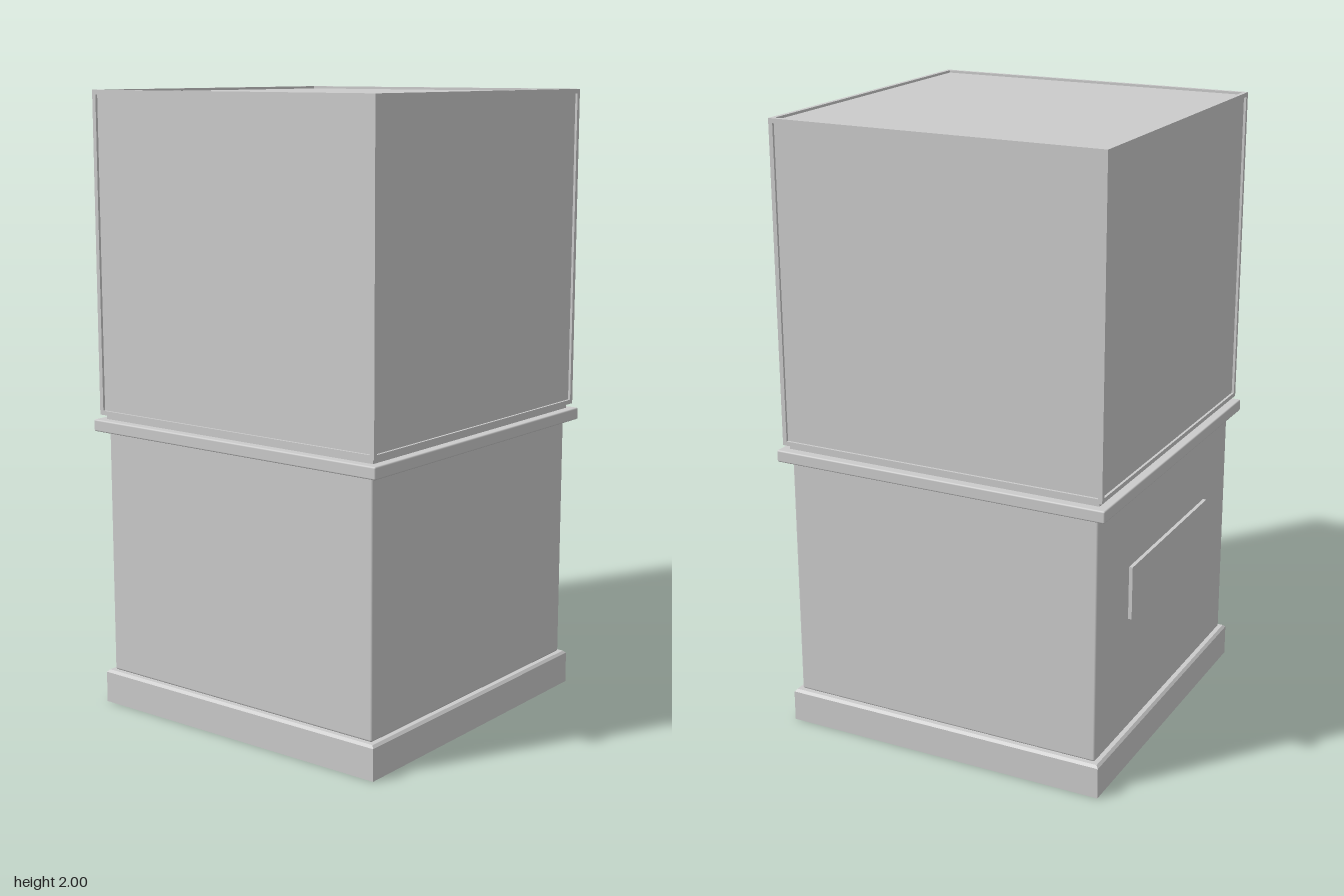
import * as THREE from 'three';
import { RoundedBoxGeometry } from 'three/addons/geometries/RoundedBoxGeometry.js';

const material = new THREE.MeshStandardMaterial({ color: 0xcccccc });
const openMaterial = new THREE.MeshStandardMaterial({ color: 0xcccccc, side: THREE.DoubleSide });

function add(parent, name, geometry, x, y, z, mat = material) {
  const mesh = new THREE.Mesh(geometry, mat);
  mesh.name = name;
  mesh.position.set(x, y, z);
  parent.add(mesh);
  return mesh;
}

// Square block between two heights, with softened edges
function block(parent, name, half, y0, y1, bevel) {
  const geometry = new RoundedBoxGeometry(half * 2, y1 - y0, half * 2, 2, bevel);
  return add(parent, name, geometry, 0, (y0 + y1) / 2, 0);
}

// Hollow square plinth, open underneath, with a chamfered top edge
function plinthGeometry() {
  const profile = [[0.55, 0], [0.55, 0.102], [0.542, 0.11], [0, 0.11]]
    .map(([half, y]) => new THREE.Vector2(half * Math.SQRT2, y));
  const geometry = new THREE.LatheGeometry(profile, 4).rotateY(Math.PI / 4).toNonIndexed();
  geometry.computeVertexNormals();
  return geometry;
}

// Cube case: panels set slightly behind a thin edge frame
function displayCase() {
  const group = new THREE.Group();
  group.name = 'displayCase';
  const half = 0.55, y0 = 0.97, y1 = 2, bar = 0.014, recess = 0.008;
  const height = y1 - y0, mid = (y0 + y1) / 2;
  const inner = (half - recess) * 2;
  add(group, 'casePanels', new THREE.BoxGeometry(inner, height - recess * 2, inner), 0, mid, 0);

  const c = half - bar / 2;
  for (const a of [-1, 1]) {
    for (const b of [-1, 1]) {
      add(group, 'caseUpright', new THREE.BoxGeometry(bar, height, bar), a * c, mid, b * c);
      const y = mid + b * (height - bar) / 2;
      const length = (half - bar) * 2;
      add(group, 'caseRailX', new THREE.BoxGeometry(length, bar, bar), 0, y, a * c);
      add(group, 'caseRailZ', new THREE.BoxGeometry(bar, bar, length), a * c, y, 0);
    }
  }
  return group;
}

export function createModel() {
  const model = new THREE.Group();
  model.name = 'displayPedestal';

  add(model, 'plinth', plinthGeometry(), 0, 0, 0, openMaterial);
  block(model, 'pedestalBody', 0.53, 0.11, 0.93, 0.007);
  block(model, 'ledge', 0.565, 0.916, 0.955, 0.005);
  add(model, 'caseSeat', new THREE.BoxGeometry(1.07, 0.03, 1.07), 0, 0.96, 0);
  model.add(displayCase());

  // Blank plate standing just off the back
  add(model, 'backPlate', new THREE.BoxGeometry(0.62, 0.175, 0.012), 0, 0.588, -0.543);

  return model;
}
